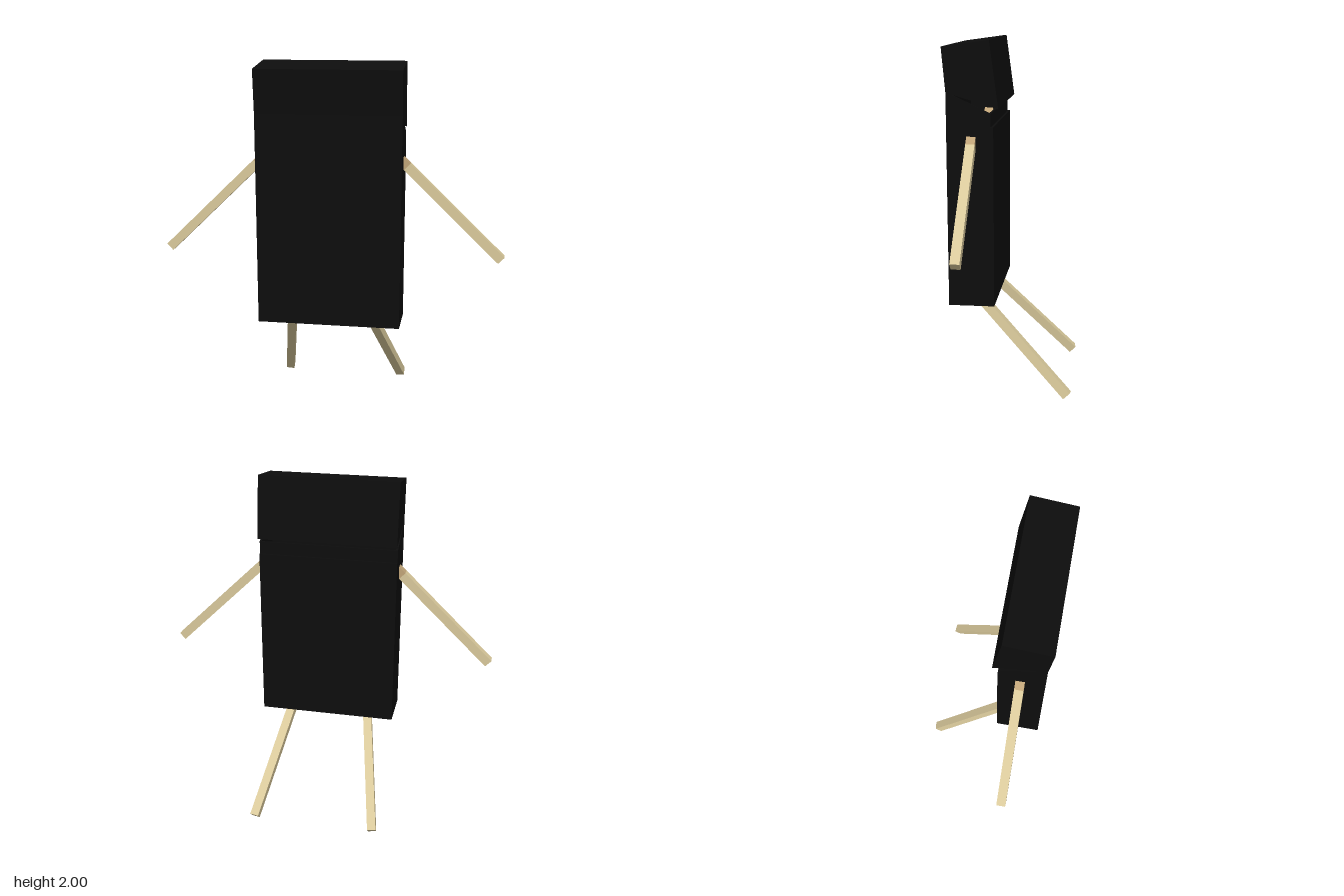
import * as THREE from 'three';

const card = new THREE.MeshStandardMaterial({ color: 0x0d0d0d });
card.name = 'black card';
const wood = new THREE.MeshStandardMaterial({ color: 0xd9c99b });
wood.name = 'pale wood';
const darkWood = new THREE.MeshStandardMaterial({ color: 0xc0a478 });
darkWood.name = 'brown wood';

const HALF = 0.4;   // half width of the box
const T = 0.012;    // card thickness
const S = 0.05;     // stick thickness

// Extrude a [z, y] outline across x, centred on cx
function panel(name, points, width, cx = 0) {
  const shape = new THREE.Shape(points.map(([z, y]) => new THREE.Vector2(z, y)));
  const geo = new THREE.ExtrudeGeometry(shape, { depth: width, bevelEnabled: false });
  geo.translate(0, 0, -width / 2).rotateY(-Math.PI / 2).translate(cx, 0, 0);
  const mesh = new THREE.Mesh(geo, card);
  mesh.name = name;
  return mesh;
}

// Flat wall between two [z, y] points, thickened to the left of the direction
function wall(name, a, b, width = 2 * HALF) {
  const dz = b[0] - a[0], dy = b[1] - a[1], l = Math.hypot(dz, dy);
  const n = [-dy / l * T, dz / l * T];
  return panel(name, [a, b, [b[0] + n[0], b[1] + n[1]], [a[0] + n[0], a[1] + n[1]]], width);
}

// Two matching cheeks closing the ends of a shell
function cheeks(name, points) {
  return [-1, 1].map(s => panel(name, points, T, s * (HALF - T / 2)));
}

// Square stick hanging from a joint, with a darker end tucked into the box
function stick(name, joint, length, rx, rz, tip) {
  const g = new THREE.Group();
  g.name = name;
  const shaft = new THREE.Mesh(new THREE.BoxGeometry(S, length, S).translate(0, -length / 2, 0), wood);
  shaft.name = name + 'Shaft';
  const end = new THREE.Mesh(new THREE.BoxGeometry(S, tip, S).translate(0, tip / 2, 0), darkWood);
  end.name = name + 'End';
  g.add(shaft, end);
  g.position.set(...joint);
  g.rotation.set(rx, 0, rz);
  return g;
}

export function createModel() {
  const model = new THREE.Group();
  model.name = 'boxFigure';

  // Hollow carton, open along its sloping top
  const carton = new THREE.Group();
  carton.name = 'carton';
  carton.add(
    wall('cartonFront', [0.333, 0.548], [0.333, 1.728]),
    wall('cartonBottom', [0.08, 0.548], [0.333, 0.548]),
    wall('cartonBack', [0.08 + T, 0.548], [0.08 + T, 1.545]),
    wall('cartonInnerBack', [0.095 + T, 0.56], [0.095 + T, 1.615], 2 * HALF - 0.01),
    ...cheeks('cartonSide', [[0.08, 0.548], [0.333, 0.548], [0.333, 1.73],
      [0.296, 1.712], [0.095, 1.617], [0.095, 1.545], [0.08, 1.545]])
  );
  model.add(carton);

  // Tilted lid, hinged on the front edge and open underneath
  const lid = new THREE.Group();
  lid.name = 'lid';
  const hinge = [0.333, 1.725], front = [0.354, 1.965], back = [0.1, 2], lip = [0.053, 1.643];
  lid.add(
    wall('lidFront', hinge, front),
    wall('lidTop', front, back),
    wall('lidBack', back, lip),
    ...cheeks('lidSide', [hinge, front, back, lip, [0.296, 1.714]])
  );
  model.add(lid);

  // Arms and legs
  for (const [side, s] of [['left', 1], ['right', -1]]) {
    model.add(
      stick(side + 'Arm', [s * 0.42, 1.44, 0.2], 0.728, 0, s * 0.805, 0.16),
      stick(side + 'Leg', [s * 0.238, 0.53, 0.165], 0.722, 0.766, s * 0.168, 0.12)
    );
  }
  return model;
}
